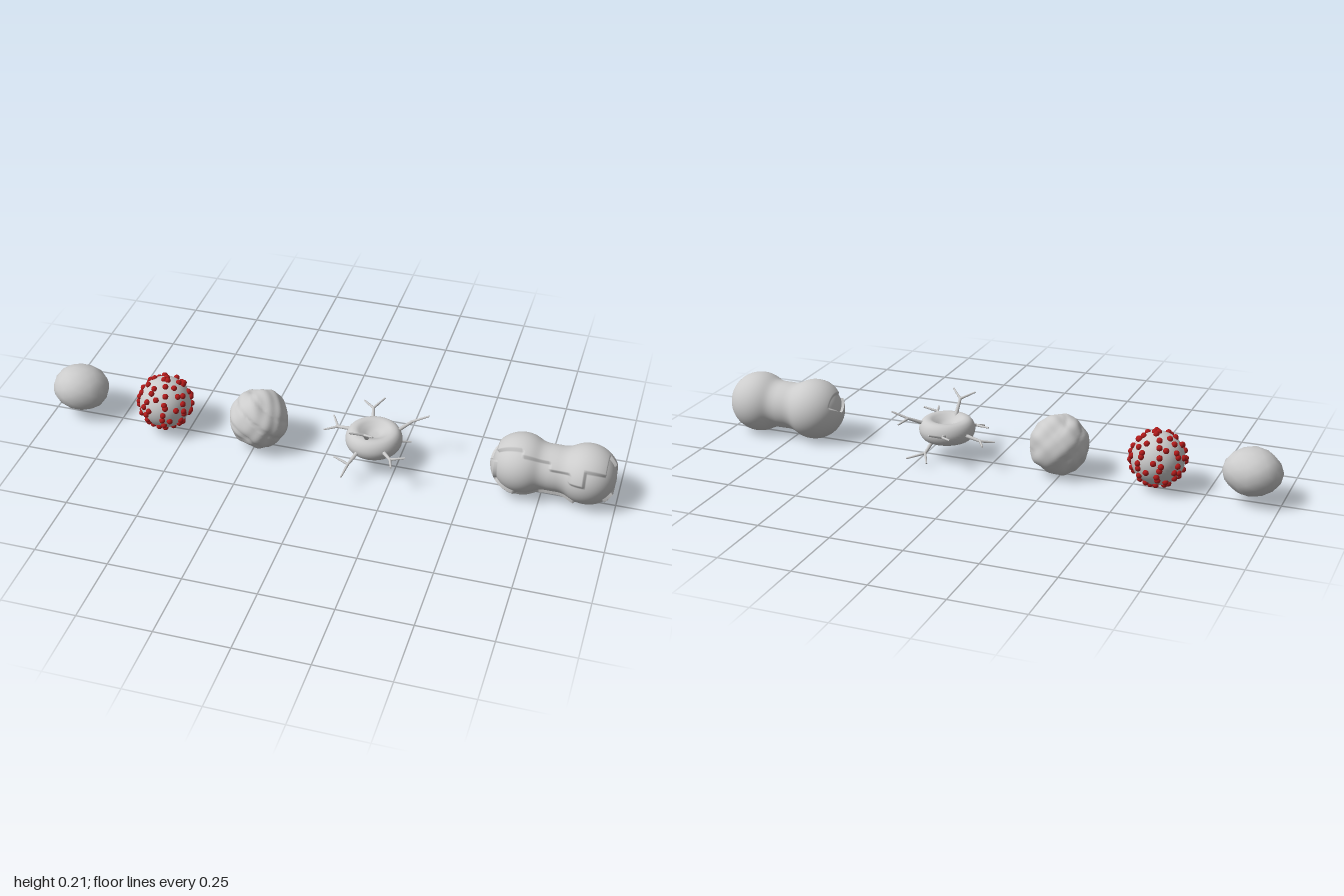
import * as THREE from 'three';
import { mergeVertices } from 'three/addons/utils/BufferGeometryUtils.js';

const V = (x, y, z) => new THREE.Vector3(x, y, z);
const grey = new THREE.MeshStandardMaterial({ color: 0xcccccc });
const red = new THREE.MeshStandardMaterial({ color: 0xb01a1a });

function part(parent, name, geometry, x = 0, y = 0, z = 0, material = grey) {
  const mesh = new THREE.Mesh(geometry, material);
  mesh.name = name;
  mesh.position.set(x, y, z);
  parent.add(mesh);
  return mesh;
}

// Smooth ball whose radius follows a rule of direction
function shapedBall(detail, rule) {
  let g = new THREE.IcosahedronGeometry(1, detail);
  g.deleteAttribute('normal');
  g.deleteAttribute('uv');
  g = mergeVertices(g, 1e-4);
  const p = g.attributes.position, v = V(0, 0, 0);
  for (let i = 0; i < p.count; i++) {
    v.fromBufferAttribute(p, i).normalize();
    v.multiplyScalar(rule(v));
    p.setXYZ(i, v.x, v.y, v.z);
  }
  g.computeVertexNormals();
  return g;
}

// Tapered rod between two points
function rod(parent, name, a, b, r0, r1) {
  const d = b.clone().sub(a);
  const g = new THREE.CylinderGeometry(r1, r0, d.length(), 7);
  const m = part(parent, name, g);
  m.position.copy(a).add(b).multiplyScalar(0.5);
  m.quaternion.setFromUnitVectors(V(0, 1, 0), d.normalize());
}

// Two-lobed body with a raised, ragged-edged outer layer
function peanutGeometry() {
  const nu = 120, nv = 120, offset = 0.108, lobe = 0.097, pos = [], idx = [];
  const deg = Math.PI / 180;
  const covered = (dx, a) => {
    const y = Math.sin(a), z = Math.cos(a);
    if (dx > 0.17) return !(z > -0.2 && y > -0.7) && dx < 0.194;
    if (dx < -0.185) return y < 0.5;
    const upper = dx < -0.1 ? 62 : dx < -0.01 ? 48 : dx < 0.06 ? 30 : dx < 0.11 ? 12 : 40;
    const lower = dx < -0.12 ? -40 : dx < -0.04 ? -65 : dx < 0.08 ? -50 : -72;
    return a > upper * deg || a < lower * deg;
  };
  for (let i = 0; i <= nu; i++) {
    const dx = -(offset + lobe) * Math.cos(Math.PI * i / nu);
    const ball = Math.sqrt(Math.max(0, lobe ** 2 - (Math.abs(dx) - offset) ** 2));
    const waist = 0.074 * Math.exp(-((dx / 0.07) ** 4));
    const r = (ball ** 6 + waist ** 6) ** (1 / 6);
    const axis = THREE.MathUtils.clamp(dx, -offset, offset);
    for (let j = 0; j < nv; j++) {
      const a = -Math.PI / 2 + 2 * Math.PI * j / nv;
      const p = V(dx, r * Math.sin(a), r * Math.cos(a));
      const dir = p.clone().sub(V(axis, 0, 0)).normalize();
      p.addScaledVector(dir, covered(dx, a) ? 0.009 : 0);
      pos.push(p.x, p.y, p.z);
      if (i < nu) {
        const k = i * nv + j, n = i * nv + (j + 1) % nv;
        idx.push(k, k + nv, n, n, k + nv, n + nv);
      }
    }
  }
  const g = new THREE.BufferGeometry();
  g.setAttribute('position', new THREE.Float32BufferAttribute(pos, 3));
  g.setIndex(idx);
  g.computeVertexNormals();
  return g;
}

export function createModel() {
  const model = new THREE.Group();
  model.name = 'cellRow';

  // Plain egg-shaped cell, slightly angular
  const egg = shapedBall(2, (v) => 1 + 0.025 * Math.sin(4 * v.x + 2 * v.y) * Math.cos(3 * v.z - 1));
  egg.scale(0.099, 0.08, 0.09);
  part(model, 'smoothCell', egg, -0.9, 0.11, 0);

  // Round cell studded with red beads
  const studded = new THREE.Group();
  studded.name = 'beadedCell';
  studded.position.set(-0.583, 0.11, 0);
  model.add(studded);
  part(studded, 'beadedCellBody', new THREE.SphereGeometry(0.09, 40, 28));
  const bead = new THREE.SphereGeometry(0.0105, 12, 8);
  const count = 90;
  for (let i = 0; i < count; i++) {
    const y = THREE.MathUtils.clamp(1 - (2 * i + 1) / count + 0.04 * Math.sin(i * 7.3), -1, 1);
    const a = i * 2.39996 + 0.2 * Math.sin(i * 12.9);
    const r = Math.sqrt(1 - y * y) * 0.091;
    part(studded, 'bead', bead, r * Math.cos(a), y * 0.091, r * Math.sin(a), red);
  }

  // Lumpy cell with shallow folds
  const lumpy = shapedBall(14, (v) => {
    const broad = Math.sin(5 * v.x + 2 * v.y + 1) * Math.sin(4 * v.y - 3 * v.z) * 0.04;
    const fine = Math.sin(9 * v.x - 4 * v.z) * Math.cos(8 * v.y + 5 * v.z) * 0.025;
    const fold = -0.05 * Math.exp(-((Math.sin(3 * v.x + 4 * v.y - 2 * v.z) / 0.2) ** 2)) * (0.5 + 0.5 * v.z);
    return 0.102 * (1 + broad + fine + fold);
  });
  part(model, 'lumpyCell', lumpy, -0.24, 0.108, 0);

  // Dimpled disc cell
  const disc = new THREE.Group();
  disc.name = 'branchedCell';
  model.add(disc);
  const half = [[0, 0.014], [0.02, 0.016], [0.042, 0.028], [0.06, 0.037], [0.078, 0.035], [0.091, 0.022], [0.097, 0]];
  const outline = [
    ...half.map(([r, y]) => V(r, -y, 0)),
    ...half.slice(0, -1).reverse().map(([r, y]) => V(r, y, 0)),
  ];
  const curve = new THREE.CatmullRomCurve3(outline).getPoints(48).map((p) => new THREE.Vector2(Math.max(0, p.x), p.y));
  part(disc, 'dimpledDisc', new THREE.LatheGeometry(curve, 48), 0.17, 0.108, 0);

  // Forked branches: root, fork, first tip, second tip
  const branches = [
    [V(0.16, 0.135, 0.05), V(0.16, 0.185, 0.095), V(0.115, 0.205, 0.125), V(0.198, 0.207, 0.128)],
    [V(0.09, 0.105, -0.035), V(0.03, 0.096, -0.045), V(-0.015, 0.09, -0.022), V(0, 0.1, -0.1)],
    [V(0.135, 0.1, 0.08), V(0.115, 0.08, 0.13), V(0.06, 0.085, 0.108), V(0.105, 0.062, 0.183)],
    [V(0.22, 0.11, 0.07), V(0.255, 0.118, 0.115), V(0.305, 0.13, 0.108), V(0.27, 0.12, 0.16)],
    [V(0.235, 0.125, -0.03), V(0.285, 0.152, -0.07), V(0.34, 0.175, -0.085), V(0.305, 0.14, -0.11)],
    [V(0.2, 0.08, -0.05), V(0.215, 0.042, -0.09), V(0.195, 0.02, -0.125), V(0.272, 0.026, -0.122)],
    [V(0.145, 0.11, -0.08), V(0.13, 0.13, -0.14), V(0.09, 0.135, -0.168), V(0.16, 0.148, -0.184)],
  ];
  for (const [root, fork, tipA, tipB] of branches) {
    rod(disc, 'branch', root, fork, 0.0075, 0.005);
    part(disc, 'branchJoint', new THREE.SphereGeometry(0.005, 8, 6), fork.x, fork.y, fork.z);
    rod(disc, 'branchTip', fork, tipA, 0.0048, 0.003);
    rod(disc, 'branchTip', fork, tipB, 0.0048, 0.003);
  }

  // Dividing cell
  part(model, 'dividingCell', peanutGeometry(), 0.787, 0.11, 0);

  return model;
}
